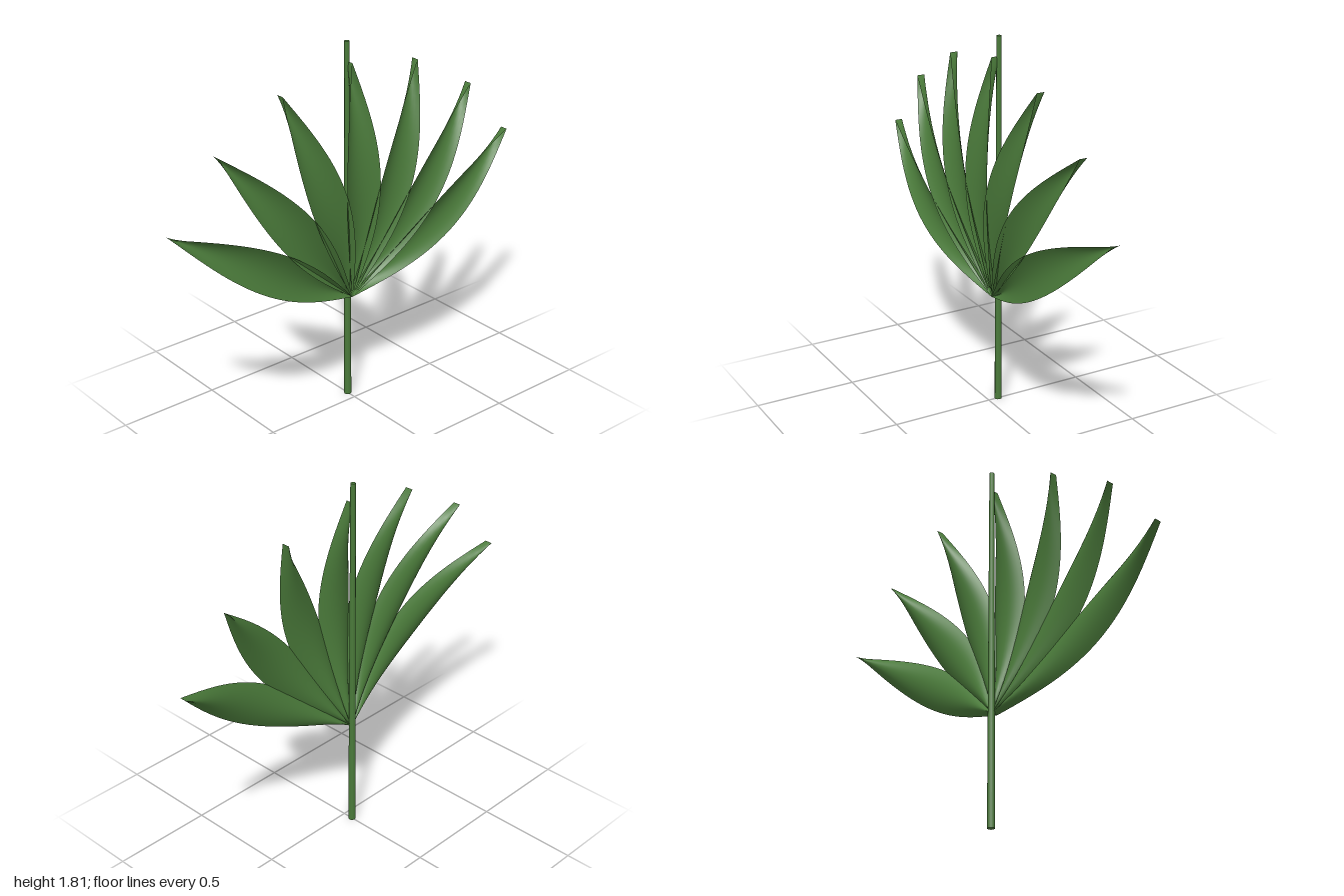
import * as THREE from 'three';

const LEAF_LENGTH = 1.168;
const HALF_WIDTH = 0.1;
const BACK_Z = -0.052; // plane of the stem and of the leaf ends

// Lens-shaped blade: a trough that opens forward and bows forward along its length
function leafGeometry() {
  const geo = new THREE.PlaneGeometry(2, 1, 12, 28);
  const p = geo.attributes.position;
  for (let i = 0; i < p.count; i++) {
    const u = p.getX(i); // -1..1 across
    const t = p.getY(i) + 0.5; // 0..1 along
    const s = Math.sin(Math.PI * t);
    p.setXYZ(i, u * HALF_WIDTH * Math.max(s, 0.002), t * LEAF_LENGTH, BACK_Z + 0.083 * s + 0.038 * u * u);
  }
  geo.computeVertexNormals();
  return geo;
}

export function createModel() {
  const group = new THREE.Group();
  const green = new THREE.MeshStandardMaterial({ color: 0x4a7a3a });
  const leafGreen = new THREE.MeshStandardMaterial({ color: 0x4a7a3a, side: THREE.DoubleSide });

  // Tapered stem
  const stem = new THREE.Mesh(new THREE.CylinderGeometry(0.012, 0.018, 1.81, 8), green);
  stem.name = 'stem';
  stem.position.set(0, 0.905, BACK_Z);
  group.add(stem);

  // Fan of seven leaves from one point on the stem
  const blade = leafGeometry();
  for (let i = -3; i <= 3; i++) {
    const leaf = new THREE.Mesh(blade, leafGreen);
    leaf.name = `leaf${i + 4}`;
    leaf.position.y = 0.547;
    leaf.rotation.z = i * 0.342;
    group.add(leaf);
  }
  return group;
}
